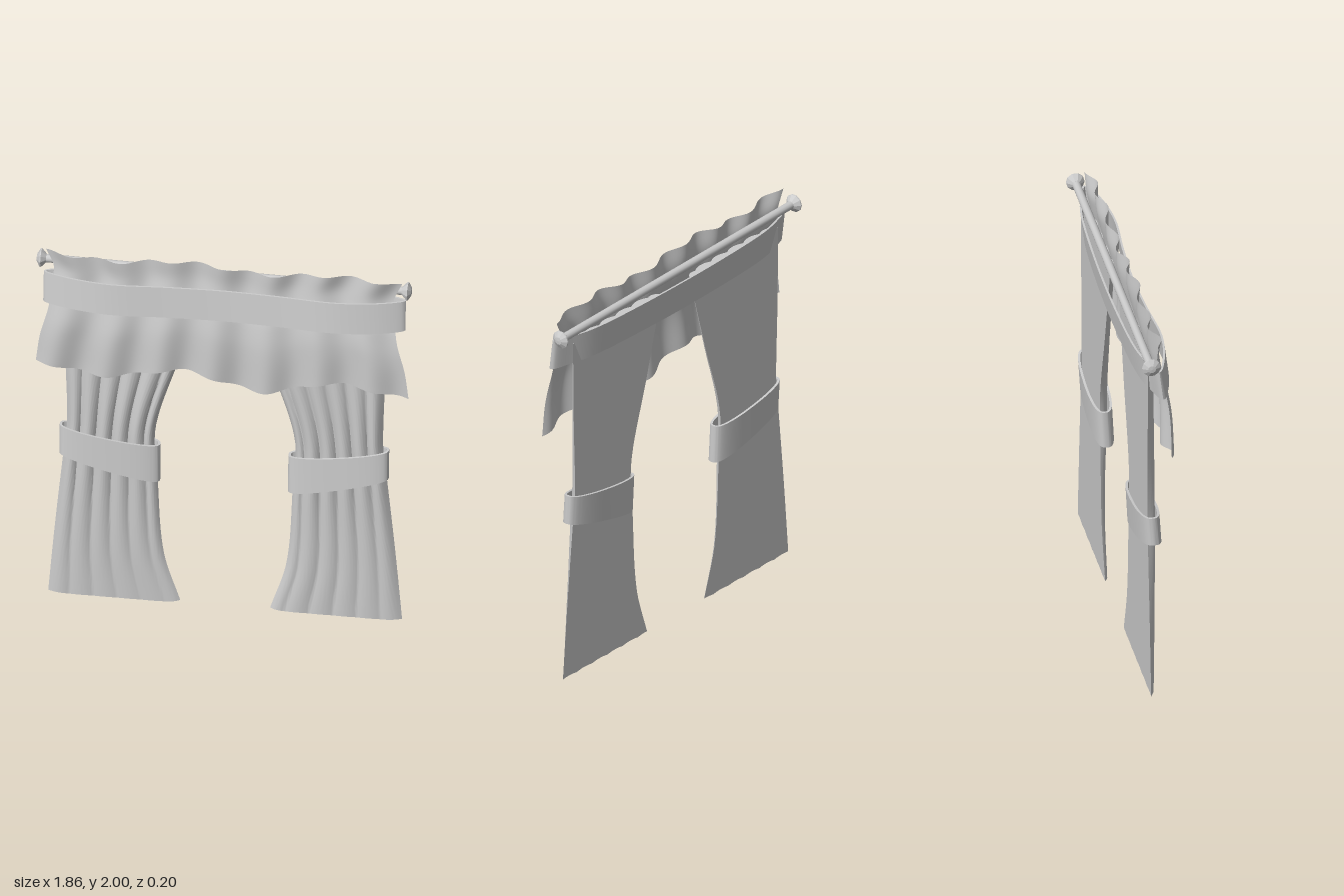
import * as THREE from 'three';
import { toCreasedNormals } from 'three/addons/utils/BufferGeometryUtils.js';

const cloth = new THREE.MeshStandardMaterial({ color: 0xcccccc, side: THREE.DoubleSide });

// Smooth value of y through a short list of [x, y] points
function track(points) {
  return (x) => {
    const n = points.length;
    if (x <= points[0][0]) return points[0][1];
    if (x >= points[n - 1][0]) return points[n - 1][1];
    let i = 0;
    while (x > points[i + 1][0]) i++;
    const [x0, y0] = points[i], [x1, y1] = points[i + 1];
    const slope = (k) => {
      const a = points[Math.max(k - 1, 0)], b = points[Math.min(k + 1, n - 1)];
      return (b[1] - a[1]) / (b[0] - a[0]);
    };
    const h = x1 - x0, t = (x - x0) / h, t2 = t * t, t3 = t2 * t;
    return y0 * (2 * t3 - 3 * t2 + 1) + slope(i) * h * (t3 - 2 * t2 + t)
      + y1 * (3 * t2 - 2 * t3) + slope(i + 1) * h * (t3 - t2);
  };
}

// Grid of points f(i, j) joined into a surface
function sheet(name, nu, nv, f, crease = 0.9) {
  const pos = [], index = [];
  for (let j = 0; j <= nv; j++) for (let i = 0; i <= nu; i++) pos.push(...f(i, j));
  for (let j = 0; j < nv; j++) {
    for (let i = 0; i < nu; i++) {
      const a = j * (nu + 1) + i, b = a + nu + 1;
      index.push(a, a + 1, b + 1, a, b + 1, b);
    }
  }
  const g = new THREE.BufferGeometry();
  g.setAttribute('position', new THREE.Float32BufferAttribute(pos, 3));
  g.setIndex(index);
  const mesh = new THREE.Mesh(toCreasedNormals(g, crease), cloth);
  mesh.name = name;
  return mesh;
}

// Closed strap: path(t) gives the centre line in x, z; edges(x) gives [bottom, top]
function strap(name, path, edges, lean, thick = 0.012) {
  const n = 96, centre = new THREE.Vector2();
  const section = [[-1, 0], [1, 0], [1, 1], [-1, 1], [-1, 0]];
  return sheet(name, n, 4, (i, j) => {
    const t = (i % n) / n, e = 0.002;
    const p = path(t), a = path((t + 1 - e) % 1), b = path((t + e) % 1);
    centre.set(b[1] - a[1], a[0] - b[0]).normalize().multiplyScalar(thick / 2);
    const [side, up] = section[j], [lo, hi] = edges(p[0]);
    return [p[0] + centre.x * side, lo + (hi - lo) * up, p[1] + centre.y * side - lean * (up - 0.5)];
  });
}

// Pleated front and flat back, closed along both edges and at top and bottom
function curtain(side) {
  const outer = track([[0, 0.88], [0.4, 0.845], [0.85, 0.8], [1, 0.785], [1.4, 0.795], [1.83, 0.8]]);
  const inner = track([[0, 0.22], [0.28, 0.305], [0.7, 0.335], [1, 0.345], [1.4, 0.23], [1.83, 0.11]]);
  const depth = track([[0, 0.028], [0.5, 0.042], [0.9, 0.054], [1.4, 0.05], [1.83, 0.045]]);
  const crease = track([[0, 0.4], [0.5, 0.5], [0.9, 0.6], [1.3, 0.55], [1.83, 0.4]]);
  const n = 88, rows = 36;
  return sheet('curtain', 2 * n, rows + 2, (i, j) => {
    const v = THREE.MathUtils.clamp((j - 1) / rows, 0, 1);
    const u = i <= n ? i / n : 2 - i / n;
    const y = 0.01 + 1.82 * v;
    const x = THREE.MathUtils.lerp(outer(y), inner(y), u);
    const capped = j === 0 || j === rows + 2;
    const edge = 1 - Math.abs(2 * u - 1) ** 10;
    const fold = Math.abs(Math.sin(u * Math.PI * 5.5 + 0.3)) ** 0.8;
    const front = capped || i > n ? 0 : depth(y) * edge * (1 - crease(y) * (1 - fold));
    const hem = 0.006 * (1 - v) ** 8 * (fold - 1);
    return [side * x, y + hem, -0.043 + front];
  }, 0.8);
}

// Slanted tie around each curtain, dropping toward the middle
function tieBand(side) {
  const bow = (c, p) => Math.sign(c) * Math.abs(c) ** p;
  const path = (t) => {
    const a = t * Math.PI * 2;
    return [side * (0.568 + 0.244 * bow(Math.cos(a), 0.85)), -0.017 + 0.052 * bow(Math.sin(a), 0.7)];
  };
  const edges = (x) => {
    const u = (0.815 - Math.abs(x)) / 0.5;
    return [0.835 - 0.12 * u - 0.015 * u * (1 - u), 0.99 - 0.072 * u - 0.02 * u * (1 - u)];
  };
  return strap('tieBand', path, edges, 0.01);
}

// Wavy valance flaring toward its hem
function valance() {
  const top = track([[-0.88, 2], [-0.55, 1.97], [-0.2, 2], [0.2, 1.965], [0.55, 1.99], [0.88, 1.965]]);
  const bottom = track([[-0.93, 1.39], [-0.57, 1.335], [-0.2, 1.4], [0.2, 1.315], [0.55, 1.395], [0.93, 1.34]]);
  const half = track([[0, 0.926], [0.25, 0.905], [0.5, 0.865], [0.75, 0.85], [0.85, 0.845], [1, 0.885]]);
  const mid = track([[0, 0.058], [0.35, 0.06], [0.55, 0.046], [0.7, 0.025], [0.85, 0.01], [1, 0.012]]);
  const wave = track([[0, 0.02], [0.4, 0.014], [0.7, 0.012], [1, 0.02]]);
  return sheet('valance', 120, 30, (i, j) => {
    const s = i / 60 - 1, v = j / 30;
    const x = s * half(v);
    const y = THREE.MathUtils.lerp(bottom(s * 0.93), top(s * 0.88), v);
    return [x, y, mid(v) + wave(v) * Math.cos(s * Math.PI * 7 + 1.2 * (1 - v))];
  }, 1.2);
}

// Wide band wrapped around the valance and both curtain heads
function valanceBand() {
  const loop = new THREE.CatmullRomCurve3([
    [-0.89, 0.005], [-0.8, 0.045], [-0.57, 0.085], [-0.28, 0.068], [0, 0.058], [0.28, 0.068],
    [0.57, 0.085], [0.8, 0.05], [0.9, 0.005], [0.8, -0.03], [0.66, -0.062],
    [0.25, -0.085], [-0.25, -0.085], [-0.66, -0.062], [-0.8, -0.03],
  ].map(([x, z]) => new THREE.Vector3(x, 0, z)), true);
  const path = (t) => { const p = loop.getPoint(t); return [p.x, p.z]; };
  return strap('valanceBand', path, () => [1.715, 1.875], 0.02, 0.01);
}

// Rod with a faceted finial at each end
function rod() {
  const group = new THREE.Group();
  group.name = 'curtainRod';
  const metal = new THREE.MeshStandardMaterial({ color: 0xcccccc });
  const bar = new THREE.Mesh(new THREE.CylinderGeometry(0.021, 0.021, 1.8, 12), metal);
  bar.name = 'rod';
  bar.rotation.z = Math.PI / 2;
  group.add(bar);
  const facets = new THREE.MeshStandardMaterial({ color: 0xcccccc, flatShading: true });
  const profile = [[0, -0.025], [0.021, -0.025], [0.047, 0], [0.047, 0.006], [0.02, 0.022], [0, 0.024]]
    .map(([r, y]) => new THREE.Vector2(r, y));
  for (const side of [-1, 1]) {
    const finial = new THREE.Mesh(new THREE.LatheGeometry(profile, 10), facets);
    finial.name = 'finial';
    finial.rotation.z = -side * Math.PI / 2;
    finial.position.x = side * 0.908;
    group.add(finial);
  }
  group.position.set(-0.005, 1.91, -0.05);
  group.rotation.z = -0.011;
  return group;
}

export function createModel() {
  const model = new THREE.Group();
  model.name = 'curtains';
  for (const side of [-1, 1]) model.add(curtain(side), tieBand(side));
  model.add(valance(), valanceBand(), rod());
  return model;
}
